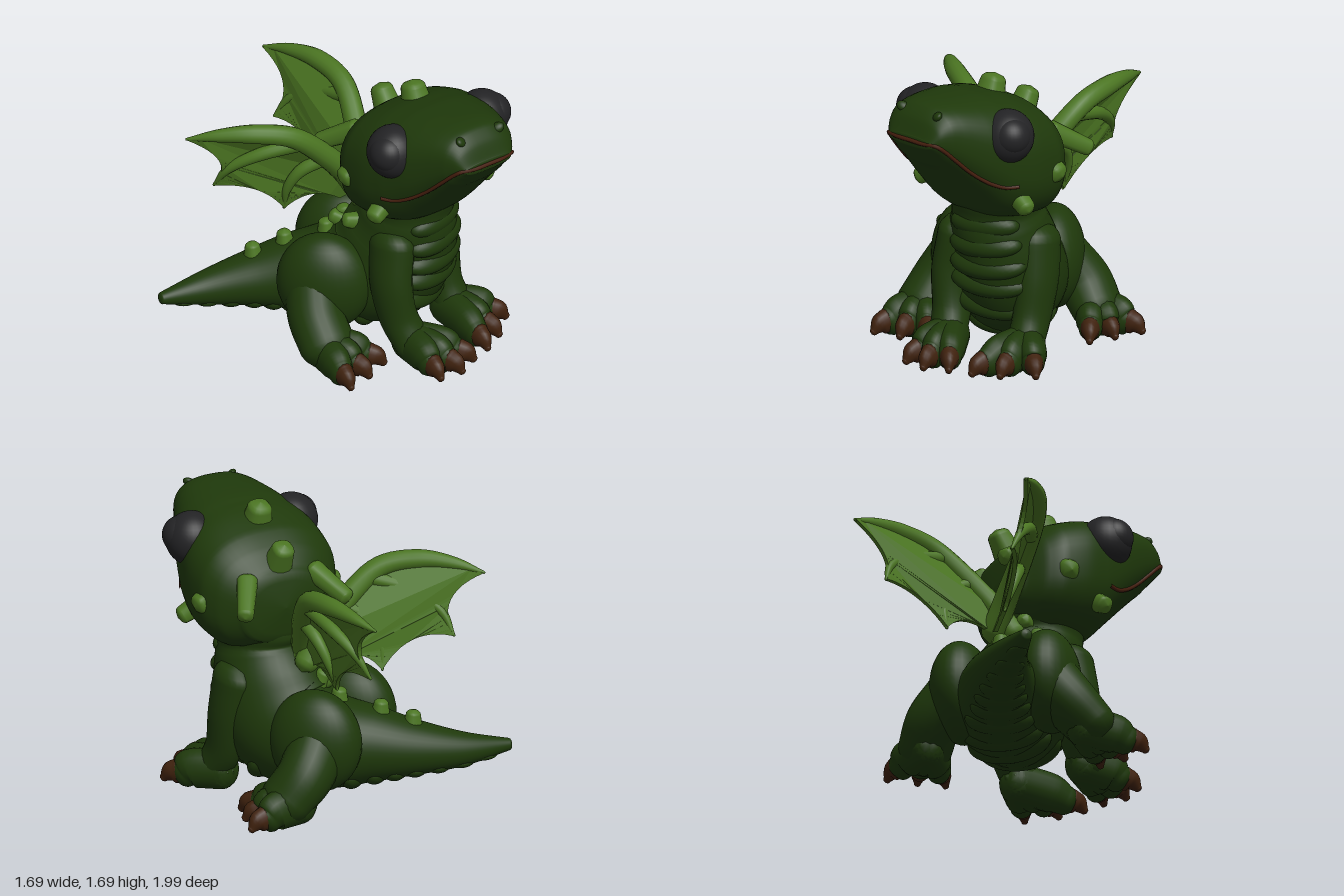
import * as THREE from 'three';

const V = (x, y, z) => new THREE.Vector3(x, y, z);
const mat = (name, color) => Object.assign(new THREE.MeshStandardMaterial({ color }), { name });

// Frame on a path of stations [x, y, z, halfWidth, halfHeight]
function makePath(st, { lateral, axis } = {}) {
  const curve = new THREE.CatmullRomCurve3(st.map(s => V(s[0], s[1], s[2])));
  const size = new THREE.CatmullRomCurve3(st.map(s => V(s[3], s[4], 0)));
  const dir = curve.getPoint(1).sub(curve.getPoint(0)).normalize();
  let side = lateral;
  if (!side) {
    side = V(0, 1, 0).cross(dir);
    if (side.length() < 0.35) side = V(1, 0, 0);
  }
  return u => {
    const t = axis ? axis.clone() : curve.getTangent(u);
    const l = side.clone().addScaledVector(t, -side.dot(t)).normalize();
    const s = size.getPoint(u);
    return { c: curve.getPoint(u), t, l, n: t.clone().cross(l), w: s.x, h: s.y };
  };
}

// Smooth tube of elliptical rings with rounded ends
function loft(st, { pow = 1, seg = 24, steps = 6, round = 1, ...opt } = {}) {
  const at = makePath(st, opt), rings = [];
  const cap = [0, 0.3, 0.6, 0.85];
  for (const k of cap) rings.push([0, Math.sqrt(1 - (1 - k) ** 2) + 0.001, k - 1]);
  const N = (st.length - 1) * steps;
  for (let i = 0; i <= N; i++) rings.push([i / N, 1, 0]);
  for (const k of [...cap].reverse()) rings.push([1, Math.sqrt(1 - (1 - k) ** 2) + 0.001, 1 - k]);
  const pos = [], idx = [];
  const sp = v => Math.sign(v) * Math.abs(v) ** pow;
  rings.forEach(([u, f, off], i) => {
    const q = at(u);
    q.c.addScaledVector(q.t, off * round * Math.min(q.w, q.h));
    for (let j = 0; j < seg; j++) {
      const a = j / seg * Math.PI * 2;
      const p = q.c.clone().addScaledVector(q.l, q.w * f * sp(Math.cos(a))).addScaledVector(q.n, q.h * f * sp(Math.sin(a)));
      pos.push(p.x, p.y, p.z);
      if (i) {
        const k = (j + 1) % seg, A = (i - 1) * seg, B = i * seg;
        idx.push(A + j, A + k, B + j, A + k, B + k, B + j);
      }
    }
  });
  const g = new THREE.BufferGeometry();
  g.setAttribute('position', new THREE.Float32BufferAttribute(pos, 3));
  g.setIndex(idx);
  g.computeVertexNormals();
  return g;
}

export function createModel() {
  const root = new THREE.Group();
  root.name = 'babyDragon';
  const skin = mat('darkGreenSkin', 0x1f390b), light = mat('lightGreen', 0x4b7522);
  const black = mat('eyeBlack', 0x232325), brown = mat('clawBrown', 0x40220e), lip = mat('lipBrown', 0x451e0d);
  light.side = THREE.DoubleSide;
  const add = (name, geo, m, parent = root) => {
    const mesh = new THREE.Mesh(geo, m);
    mesh.name = name;
    parent.add(mesh);
    return mesh;
  };
  const ball = (name, m, p, s) => {
    const b = add(name, new THREE.SphereGeometry(1, 32, 20), m);
    b.position.set(...p);
    b.scale.set(...s);
    return b;
  };
  const spike = (name, a, b, r) => add(name, loft([[...a, r, r], [...b, r * 0.8, r * 0.8]], { seg: 16, steps: 4, pow: 0.8, round: 0.7 }), light);

  // Neck, torso and tail in one sweep
  const bodySt = [
    [0.33, 1.2, 0.24, 0.27, 0.25], [0.33, 1.0, 0.26, 0.27, 0.27], [0.33, 0.85, 0.255, 0.27, 0.27],
    [0.32, 0.65, 0.19, 0.3, 0.33], [0.27, 0.46, 0.09, 0.32, 0.36], [0.14, 0.37, -0.08, 0.3, 0.29],
    [-0.1, 0.35, -0.25, 0.22, 0.22], [-0.3, 0.33, -0.36, 0.165, 0.16], [-0.55, 0.31, -0.46, 0.1, 0.1],
    [-0.82, 0.31, -0.52, 0.035, 0.035]];
  const bodyOpt = { lateral: V(0.73, 0, -0.68) };
  add('body', loft(bodySt, { ...bodyOpt, seg: 40, round: 0.5 }), skin);
  const bodyAt = makePath(bodySt, bodyOpt), chestAt = makePath(bodySt, { lateral: V(0.95, 0, -0.3) });

  // Overlapping belly plates, down the chest and under the tail
  for (let u = 0.21; u < 0.95; u += 0.052) {
    const q = u < 0.45 ? chestAt(u) : bodyAt(u);
    const plate = ball('bellyPlate', skin, [0, 0, 0], [q.w * 0.8, q.h * 0.4, 0.085]);
    plate.quaternion.setFromRotationMatrix(new THREE.Matrix4().makeBasis(q.l, q.n, q.t));
    plate.position.copy(q.c).addScaledVector(q.n, q.h * 0.64);
  }
  // Spikes down the spine
  for (const [u, side] of [[0.18, 0], [0.27, 0.4], [0.29, -0.4], [0.38, 0], [0.49, 0], [0.59, 0], [0.68, 0], [0.77, 0]]) {
    const q = bodyAt(u);
    const out = q.n.clone().negate().addScaledVector(q.l, side).normalize();
    const a = q.c.clone().addScaledVector(out, q.h * 0.92), b = q.c.clone().addScaledVector(out, q.h + 0.035);
    spike('backSpike', a.toArray(), b.toArray(), 0.05);
  }

  // Head: [z, bottom, top, half width]
  const HX = 0.33;
  const headSt = [
    [0.02, 0.95, 1.38, 0.27], [0.1, 0.9, 1.48, 0.37], [0.2, 0.87, 1.56, 0.425], [0.35, 0.88, 1.62, 0.43],
    [0.5, 0.93, 1.655, 0.4], [0.65, 1.08, 1.67, 0.35], [0.8, 1.24, 1.675, 0.28], [0.88, 1.32, 1.66, 0.24],
    [0.94, 1.39, 1.6, 0.2], [0.98, 1.44, 1.51, 0.16]];
  const headPow = 0.8;
  add('head', loft(headSt.map(([z, b, t, w]) => [HX, (b + t) / 2, z, w, (t - b) / 2]),
    { lateral: V(1, 0, 0), axis: V(0, 0, 1), pow: headPow, seg: 48, round: 0.25 }), skin);
  const headX = (z, y) => {
    let i = 0;
    while (i < headSt.length - 2 && headSt[i + 1][0] < z) i++;
    const k = (z - headSt[i][0]) / (headSt[i + 1][0] - headSt[i][0]);
    const [, b, t, w] = headSt[i].map((v, j) => v + (headSt[i + 1][j] - v) * k);
    const f = Math.min(1, Math.abs(y - (b + t) / 2) / ((t - b) / 2)), n = 2 / headPow;
    return w * (1 - f ** n) ** (1 / n);
  };
  // Mouth line around the snout
  const half = [[0.96, 1.477], [0.91, 1.435], [0.85, 1.375], [0.75, 1.28], [0.65, 1.205], [0.57, 1.17], [0.5, 1.165]]
    .map(([z, y]) => V(headX(z, y), y, z));
  half.unshift(V(0.1, 1.48, 0.986));
  const mouth = [...half.map(p => V(HX - p.x, p.y, p.z)).reverse(), V(HX, 1.482, 0.99), ...half.map(p => V(HX + p.x, p.y, p.z))];
  add('mouthLine', new THREE.TubeGeometry(new THREE.CatmullRomCurve3(mouth), 80, 0.012, 8), lip);

  // Mirrored face parts
  for (const s of [-1, 1]) {
    const X = d => HX + s * d;
    ball('eye', black, [X(0.315), 1.455, 0.515], [0.15, 0.155, 0.15]);
    ball('pupil', black, [X(0.365), 1.475, 0.54], [0.11, 0.11, 0.11]);
    ball('nostril', skin, [X(0.13), 1.625, 0.895], [0.04, 0.022, 0.03]).rotation.set(0.7, 0, s * 0.6);
    spike('horn', [X(0.21), 1.33, 0.04], [X(0.315), 1.215, -0.14], 0.06);
    spike('cheekSpike', [X(0.37), 1.2, 0.22], [X(0.42), 1.18, 0.215], 0.07);
    spike('jawSpike', [X(0.28), 1.1, 0.43], [X(0.4), 1.03, 0.455], 0.062);
  }
  spike('crownSpike', [HX, 1.55, 0.33], [HX, 1.65, 0.295], 0.085);
  spike('crownSpike', [HX, 1.4, 0.07], [HX, 1.5, 0.01], 0.078);

  // Legs: limb sweep, then toes and claws from the heel to each tip
  function leg(name, limb, heel, tips) {
    const g = new THREE.Group();
    g.name = name;
    root.add(g);
    add('limb', loft(limb), skin, g);
    for (const [x, z] of tips) {
      const dx = x - heel[0], dz = z - heel[1], len = Math.hypot(dx, dz);
      const on = d => [x - dx / len * d, z - dz / len * d];
      const [mx, mz] = on(len * 0.5), [ex, ez] = on(0.14), [cx, cz] = on(0.1), [tx, tz] = on(0.02);
      add('toe', loft([[heel[0], 0.14, heel[1], 0.1, 0.12], [mx, 0.125, mz, 0.085, 0.115], [ex, 0.1, ez, 0.068, 0.09]], { seg: 16 }), skin, g);
      add('claw', loft([[cx, 0.105, cz, 0.055, 0.073], [(cx + tx) / 2, 0.095, (cz + tz) / 2, 0.046, 0.062], [tx, 0.06, tz, 0.02, 0.025]], { seg: 14, steps: 4 }), brown, g);
    }
  }
  leg('frontLegRight', [[0.135, 0.72, 0.35, 0.115, 0.15], [0.105, 0.5, 0.38, 0.11, 0.14], [0.13, 0.28, 0.42, 0.105, 0.12], [0.17, 0.14, 0.5, 0.11, 0.1]],
    [0.17, 0.46], [[0.13, 0.82], [0.28, 0.83], [0.42, 0.76]]);
  leg('frontLegLeft', [[0.55, 0.71, 0.17, 0.12, 0.15], [0.575, 0.5, 0.2, 0.11, 0.14], [0.58, 0.28, 0.25, 0.1, 0.12], [0.6, 0.14, 0.33, 0.11, 0.1]],
    [0.58, 0.28], [[0.54, 0.72], [0.69, 0.64], [0.85, 0.5]]);
  leg('hindLegRight', [[-0.17, 0.42, 0.02, 0.16, 0.18], [-0.23, 0.28, 0.13, 0.16, 0.16], [-0.25, 0.17, 0.25, 0.16, 0.14]],
    [-0.26, 0.2], [[-0.33, 0.59], [-0.16, 0.55], [0.0, 0.48]]);
  leg('hindLegLeft', [[0.29, 0.4, -0.32, 0.16, 0.18], [0.4, 0.28, -0.38, 0.16, 0.16], [0.5, 0.17, -0.37, 0.16, 0.14]],
    [0.44, -0.4], [[0.79, -0.46], [0.74, -0.28], [0.68, -0.12]]);
  ball('thighRight', skin, [-0.12, 0.44, 0.06], [0.18, 0.3, 0.27]).rotation.y = 0.75;
  ball('thighLeft', skin, [0.27, 0.44, -0.27], [0.18, 0.3, 0.27]).rotation.y = 0.75;

  // Wings: bowed membrane leaning inward below the arm, with finger bones
  const cup = (u, v) => 0.07 * Math.sin(Math.PI * THREE.MathUtils.clamp(u, 0, 1)) - 0.3 * Math.max(0, 1.38 - v);
  const armPts = [[0, 0.85, 0.07], [0.08, 1.0, 0.068], [0.22, 1.18, 0.064], [0.4, 1.34, 0.06], [0.62, 1.385, 0.055], [0.82, 1.373, 0.036], [0.985, 1.338, 0.008]];
  function wing(name, s, x, z, turn) {
    const g = new THREE.Group();
    g.name = name;
    g.position.set(x, 0, z);
    g.rotation.y = turn;
    root.add(g);
    const sh = new THREE.Shape();
    sh.moveTo(0, 0.85);
    sh.splineThru(armPts.slice(1).map(([u, v]) => new THREE.Vector2(u, v)));
    sh.quadraticCurveTo(0.7, 1.2, 0.82, 0.985);
    sh.quadraticCurveTo(0.56, 1.02, 0.42, 0.785);
    sh.quadraticCurveTo(0.28, 0.95, 0.1, 0.8);
    const geo = new THREE.ExtrudeGeometry(sh, { depth: 0.025, bevelEnabled: false, curveSegments: 12 });
    const p = geo.attributes.position;
    for (let i = 0; i < p.count; i++) p.setZ(i, p.getZ(i) - 0.0125 + s * cup(p.getX(i), p.getY(i)));
    geo.computeVertexNormals();
    add('wingMembrane', geo, light, g);
    const bone = (label, pts) => add(label, loft(pts.map(([u, v, r]) => [u, v, s * cup(u, v), r, r]), { seg: 14, lateral: V(0, 0, 1) }), light, g);
    bone('wingArm', armPts);
    bone('wingFinger', [[0.36, 1.28, 0.045], [0.58, 1.22, 0.038], [0.75, 1.11, 0.027], [0.82, 0.985, 0.008]]);
    bone('wingFinger', [[0.2, 1.14, 0.045], [0.34, 1.06, 0.036], [0.41, 0.93, 0.026], [0.42, 0.785, 0.008]]);
  }
  wing('wingLeft', 1, 0.35, 0, 1.65);
  wing('wingRight', -1, 0.15, 0.05, 2.62);
  return root;
}
